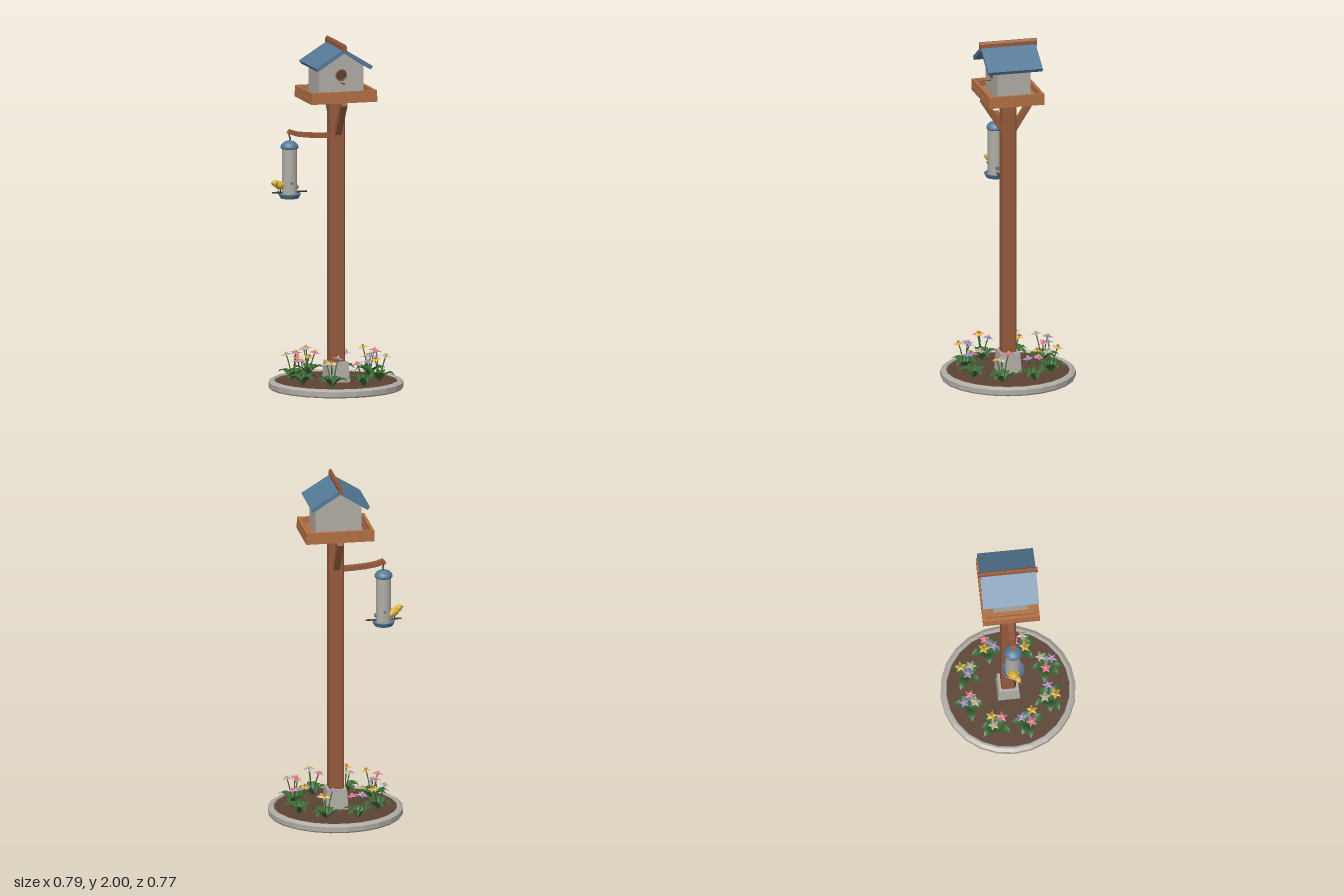
import * as THREE from 'three';

const mat = (name, color) => new THREE.MeshStandardMaterial({ name, color });

// Unshared vertices give crisp facets
function flat(g) {
  const f = g.index ? g.toNonIndexed() : g;
  f.computeVertexNormals();
  return f;
}

function add(parent, name, geo, material, x = 0, y = 0, z = 0) {
  const m = new THREE.Mesh(geo, material);
  m.name = name;
  m.position.set(x, y, z);
  parent.add(m);
  return m;
}

function group(parent, name, x = 0, y = 0, z = 0) {
  const g = new THREE.Group();
  g.name = name;
  g.position.set(x, y, z);
  parent.add(g);
  return g;
}

const box = (w, h, d) => new THREE.BoxGeometry(w, h, d);
const rod = (r, len, n = 8) => new THREE.CylinderGeometry(r, r, len, n);
const lathe = (pts, n) => new THREE.LatheGeometry(pts.map(p => new THREE.Vector2(...p)), n);

// Outline in x and y, extruded and centred along z
function slab(pts, depth) {
  const shape = new THREE.Shape(pts.map(p => new THREE.Vector2(...p)));
  return new THREE.ExtrudeGeometry(shape, { depth, bevelEnabled: false }).translate(0, 0, -depth / 2);
}

// Curved, folded leaf growing along +x
function leafGeometry(len) {
  const g = new THREE.PlaneGeometry(1, 2, 6, 2);
  const p = g.attributes.position;
  for (let i = 0; i < p.count; i++) {
    const t = p.getX(i) + 0.5, side = p.getY(i);
    const w = 0.025 * Math.sin(Math.PI * Math.pow(t, 0.85)) + 0.001;
    p.setXYZ(i, t * len, 0.055 * Math.sin(t * 2.3) + Math.abs(side) * w * 0.35, -side * w);
  }
  g.computeVertexNormals();
  return g;
}

// Five-pointed blossom: a low cone with alternating rim radii
function blossomGeometry() {
  const g = new THREE.ConeGeometry(0.037, 0.012, 10);
  const p = g.attributes.position;
  for (let i = 0; i < p.count; i++) {
    const a = Math.atan2(p.getX(i), p.getZ(i));
    const step = Math.round(a / (Math.PI / 5));
    if (Math.abs(step) % 2 === 1) { p.setX(i, p.getX(i) * 0.47); p.setZ(i, p.getZ(i) * 0.47); }
  }
  return flat(g);
}

export function createModel() {
  const root = new THREE.Group();
  root.name = 'birdFeederPost';
  const M = {
    wood: mat('post wood', 0x955a3c), tray: mat('tray wood', 0xb27044),
    soil: mat('soil brown', 0x5c4234), blue: mat('slate blue', 0x557a98),
    grey: mat('pale grey', 0xb0aca5), green: mat('leaf green', 0x3c6a34),
    yellow: mat('yellow', 0xddb03c), purple: mat('violet', 0x9180d2),
    pink: mat('pink', 0xdb6c9e), dark: mat('dark metal', 0x2e3338),
  };
  const leafMat = M.green;
  leafMat.side = THREE.DoubleSide;
  const main = group(root, 'mainStand', 0.007);

  // Planting bed
  const bed = group(main, 'plantingBed');
  add(bed, 'stoneRing', flat(lathe([[0.35, 0], [0.38, 0], [0.385, 0.008], [0.385, 0.036],
    [0.366, 0.048], [0.355, 0.048], [0.35, 0.04], [0.35, 0]], 24)), M.grey);
  add(bed, 'soil', new THREE.CylinderGeometry(0.352, 0.352, 0.034, 24), M.soil, 0, 0.021);
  add(bed, 'footing', flat(new THREE.CylinderGeometry(0.08, 0.094, 0.153, 4).rotateY(Math.PI / 4)), M.grey, 0, 0.0785);

  // Chamfered post and its two braces
  const h = 0.042, c = 0.033;
  const post = slab([[h, -c], [h, c], [c, h], [-c, h], [-h, c], [-h, -c], [-c, -h], [c, -h]], 1.63);
  add(main, 'post', post.rotateX(-Math.PI / 2), M.wood, 0, 0.85);
  for (const s of [1, -1]) {
    const brace = slab([[0.03, 1.5], [0.03, 1.462], [0.045, 1.462], [0.162, 1.645], [0.155, 1.664], [0.135, 1.664]], 0.036);
    add(main, s > 0 ? 'frontBrace' : 'backBrace', brace.rotateY(-s * Math.PI / 2), M.wood);
  }

  // Tray
  const tray = group(main, 'tray');
  add(tray, 'trayFloor', box(0.394, 0.03, 0.326), M.tray, 0, 1.677);
  for (const s of [1, -1]) {
    add(tray, 'sideRail', box(0.018, 0.036, 0.322), M.tray, s * 0.186, 1.709);
    add(tray, 'endRail', box(0.354, 0.036, 0.018), M.tray, 0, 1.709, s * 0.152);
    add(tray, 'innerStrip', box(0.008, 0.012, 0.286), M.wood, s * 0.165, 1.697);
  }

  // House
  const house = group(main, 'house');
  add(house, 'walls', slab([[-0.132, 1.69], [0.132, 1.69], [0.132, 1.864], [0, 1.95], [-0.132, 1.864]], 0.196), M.grey);
  for (const s of [1, -1]) {
    const pts = [[0, 1.973], [0, 1.949], [0.158, 1.849], [0.17, 1.868]].map(([x, y]) => [s * x, y]);
    add(house, 'roofPanel', slab(pts, 0.32), M.blue);
  }
  add(house, 'ridgeCap', slab([[-0.011, 1.955], [0.011, 1.955], [0.011, 1.988], [0.004, 2], [-0.004, 2], [-0.011, 1.988]], 0.338), M.wood);
  add(house, 'entranceHole', rod(0.03, 0.004, 20).rotateX(Math.PI / 2), M.soil, 0, 1.815, 0.099);
  add(house, 'entranceRim', new THREE.TorusGeometry(0.031, 0.004, 6, 20), M.wood, 0, 1.815, 0.099);
  add(house, 'housePerch', rod(0.005, 0.065).rotateX(Math.PI / 2), M.wood, 0, 1.772, 0.129);

  // Curved arm
  const top = [[-0.02, 1.469], [-0.1, 1.472], [-0.17, 1.477], [-0.225, 1.485], [-0.268, 1.5]];
  const under = [[-0.284, 1.478], [-0.235, 1.46], [-0.17, 1.45], [-0.1, 1.445], [-0.02, 1.442]];
  add(root, 'arm', slab([...top, ...under], 0.034), M.wood);

  // Hanging tube feeder
  const feeder = group(root, 'hangingFeeder', -0.27);
  const hook = new THREE.CatmullRomCurve3([[0, 1.49, 0], [-0.002, 1.465, 0], [0.004, 1.45, 0], [0, 1.425, 0]]
    .map(p => new THREE.Vector3(...p)));
  add(feeder, 'hook', new THREE.TubeGeometry(hook, 10, 0.004, 6), M.dark);
  add(feeder, 'cap', lathe([[0, 1.39], [0.047, 1.39], [0.051, 1.396], [0.051, 1.404], [0.046, 1.415],
    [0.034, 1.427], [0.018, 1.434], [0, 1.436]], 20), M.blue);
  add(feeder, 'seedTube', rod(0.043, 0.275, 20), M.grey, 0, 1.26);
  add(feeder, 'catchTray', flat(lathe([[0, 1.105], [0.052, 1.105], [0.065, 1.13], [0.06, 1.133], [0.05, 1.12], [0, 1.12]], 16)), M.blue);
  add(feeder, 'perchRod', rod(0.005, 0.204).rotateZ(Math.PI / 2), M.dark, 0, 1.14);
  for (const s of [1, -1]) {
    add(feeder, 'sidePort', rod(0.011, 0.014, 10).rotateZ(Math.PI / 2), M.blue, s * 0.045, 1.168);
    add(feeder, 'endPort', rod(0.008, 0.012, 10).rotateX(Math.PI / 2), M.blue, 0, 1.195, s * 0.043);
  }

  // Bird, facing local +x
  const bird = group(root, 'bird', -0.325, 1.18, -0.003);
  bird.rotation.y = Math.PI + 0.53;
  const ball = (rx, ry, rz) => new THREE.SphereGeometry(1, 16, 12).scale(rx, ry, rz);
  add(bird, 'body', ball(0.044, 0.024, 0.026), M.yellow).rotation.z = 0.3;
  add(bird, 'head', ball(0.022, 0.019, 0.018), M.yellow, 0.042, 0.018);
  add(bird, 'beak', new THREE.ConeGeometry(0.006, 0.022, 8).rotateZ(-Math.PI / 2), M.tray, 0.07, 0.018);
  add(bird, 'tail', box(0.045, 0.006, 0.018), M.yellow, -0.052, -0.008).rotation.z = 0.2;
  for (const s of [1, -1]) {
    add(bird, 'wing', ball(0.032, 0.014, 0.006), M.yellow, -0.01, 0.002, s * 0.024).rotation.z = 0.25;
    add(bird, 'eye', ball(0.003, 0.003, 0.003), M.dark, 0.05, 0.022, s * 0.0155);
    add(bird, 'leg', rod(0.002, 0.028, 6), M.dark, 0.004, -0.028, s * 0.007);
  }

  // Flower clumps: colours of the outer, first and second inner blossoms
  const { grey: w, purple: v, pink: p, yellow: y } = M;
  const clumps = [[w, p, y], [v, w, p], [y, v, w], [p, y, v], [w, p, y], [v, w, p], [y, v, w], [p, y, v]];
  const blossom = blossomGeometry();
  const hub = new THREE.SphereGeometry(0.009, 8, 6);
  const leaves = [leafGeometry(0.098), leafGeometry(0.085)];
  clumps.forEach((colours, k) => {
    const a = (22.5 + 45 * k) * Math.PI / 180;
    const clump = group(main, 'flowerClump', 0.246 * Math.cos(a), 0.038, 0.246 * Math.sin(a));
    clump.rotation.y = -a;
    [28, 125, -78, 62, -160].forEach((deg, i) => {
      add(clump, 'leaf', leaves[i < 3 ? 0 : 1], leafMat).rotation.y = -(deg + (k % 3 - 1) * 8) * Math.PI / 180;
    });
    colours.forEach((colour, i) => {
      const b = i * Math.PI * 2 / 3 * -1, r = 0.038;
      const height = [0.147, 0.165, 0.13][i];
      const tip = new THREE.Vector3(r * Math.cos(b), height, r * Math.sin(b));
      const stem = new THREE.QuadraticBezierCurve3(new THREE.Vector3(tip.x * 0.2, 0, tip.z * 0.2),
        new THREE.Vector3(tip.x * 0.4, height * 0.6, tip.z * 0.4), tip);
      add(clump, 'stem', new THREE.TubeGeometry(stem, 6, 0.0035, 5), M.green);
      const flower = group(clump, 'flower', tip.x, tip.y + 0.005, tip.z);
      flower.rotation.set(0.22 * Math.sin(b), k * 0.7 + i, -0.22 * Math.cos(b), 'XZY');
      add(flower, 'petals', blossom, colour);
      add(flower, 'flowerCentre', hub, colour === y ? M.tray : y, 0, 0.005);
    });
  });
  return root;
}
